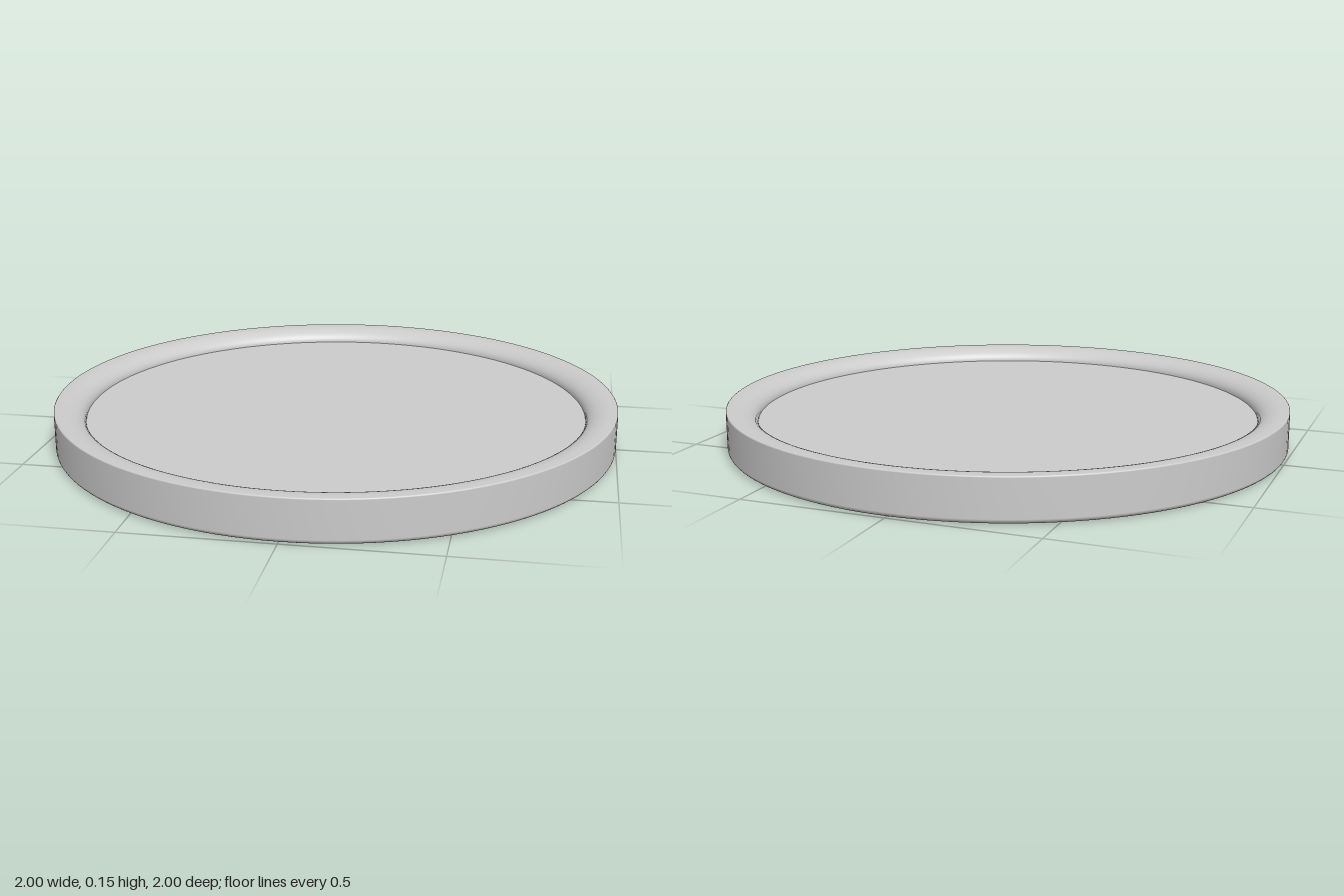
import * as THREE from 'three';

const SEGMENTS = 128;
const FLOOR_Y = 0.1;
const INNER_R = 0.89;

// Points along a quarter-ellipse (or any arc) in the (radius, height) plane
function arc(cx, cy, rx, ry, from, to, steps) {
  const pts = [];
  for (let i = 0; i <= steps; i++) {
    const a = from + ((to - from) * i) / steps;
    pts.push(new THREE.Vector2(cx + rx * Math.cos(a), cy + ry * Math.sin(a)));
  }
  return pts;
}

export function createModel() {
  const group = new THREE.Group();
  group.name = 'roundTray';
  const material = new THREE.MeshStandardMaterial({ color: 0xcccccc });

  const add = (name, geometry) => {
    const mesh = new THREE.Mesh(geometry, material);
    mesh.name = name;
    group.add(mesh);
    return mesh;
  };

  // Outer wall with softened bottom and top edges, rolling inward over the lip
  const profile = [
    ...arc(0.975, 0.018, 0.025, 0.018, -Math.PI / 2, 0, 6),
    ...arc(0.995, 0.145, 0.005, 0.005, 0, Math.PI / 2, 4),
    ...arc(0.975, FLOOR_Y, 0.975 - INNER_R, 0.05, Math.PI / 2, Math.PI, 12),
  ];
  add('rim', new THREE.LatheGeometry(profile, SEGMENTS));

  // Flat recessed floor
  const floor = add('floor', new THREE.CircleGeometry(INNER_R, SEGMENTS));
  floor.rotation.x = -Math.PI / 2;
  floor.position.y = FLOOR_Y;

  // Flat underside
  const underside = add('underside', new THREE.CircleGeometry(0.975, SEGMENTS));
  underside.rotation.x = Math.PI / 2;

  return group;
}
